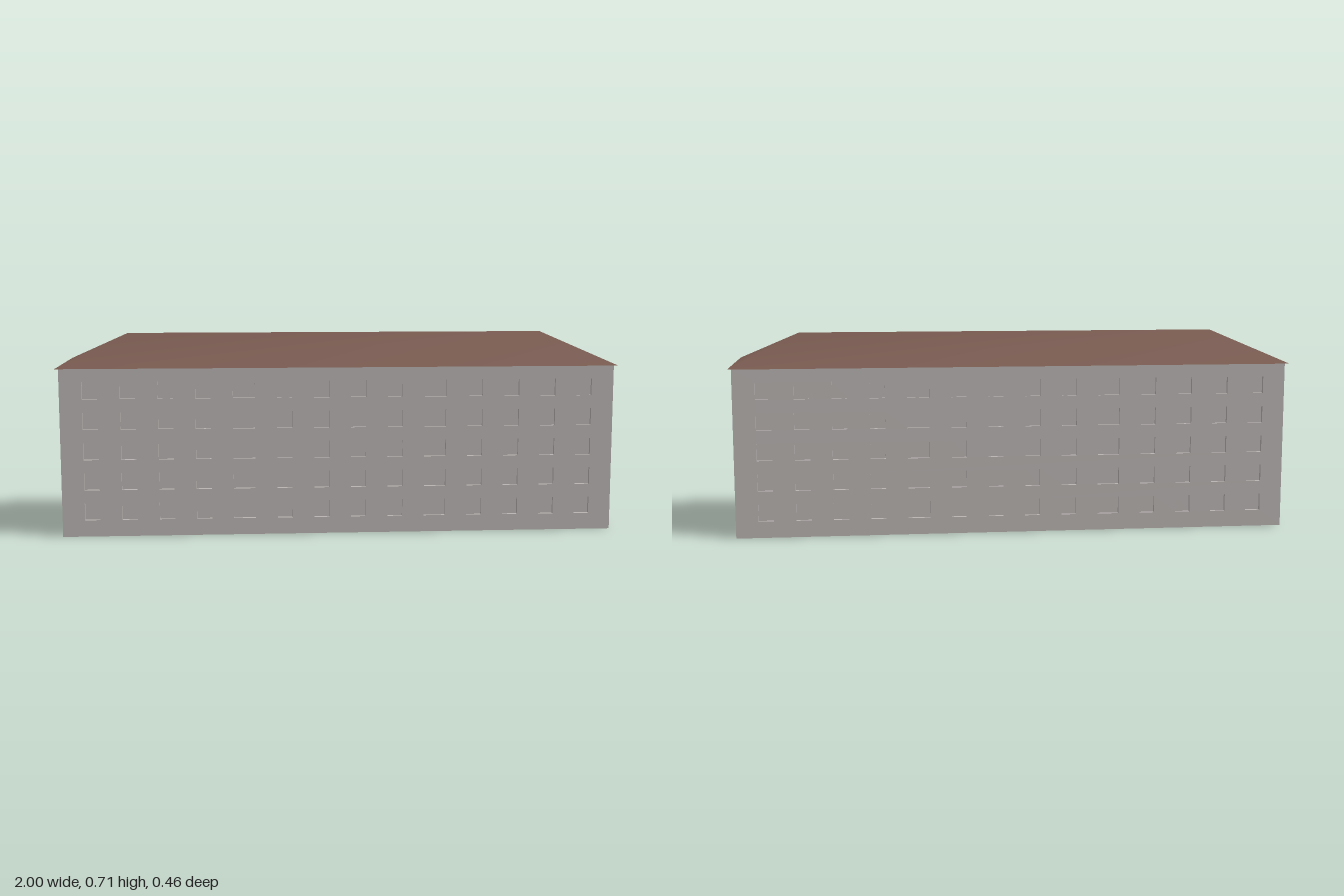
import * as THREE from 'three';
import { mergeGeometries } from 'three/addons/utils/BufferGeometryUtils.js';

const HALF_X = 0.988, HALF_Z = 0.219, WALL_H = 0.6;
const RECESS = 0.013, WIN_W = 0.054, WIDE_W = 0.078, WIN_H = 0.061;
const ROWS = [0, 1, 2, 3, 4].map((i) => 0.059 + i * 0.1083);

// Window columns as [centre, width], mirrored about the middle of a wall
const mirrored = (cols) => cols.flatMap(([c, w]) => [[-c, w], [c, w]]);
const LONG_COLS = mirrored([0.066, 0.198, 0.342, 0.486, 0.618, 0.75, 0.882]
  .map((c, i) => [c, i === 2 ? WIDE_W : WIN_W]));
const END_COLS = mirrored([[0.066, WIN_W]]);

function rect(path, x, y, w, h) {
  path.moveTo(x, y);
  path.lineTo(x + w, y);
  path.lineTo(x + w, y + h);
  path.lineTo(x, y + h);
  path.closePath();
  return path;
}

// Shallow pocket behind a window opening: a box without its front face
function windowPocket(c, y, w) {
  const g = new THREE.BoxGeometry(w, WIN_H, RECESS);
  const index = Array.from(g.index.array);
  index.splice(24, 6);
  g.setIndex(index);
  return g.translate(c, y + WIN_H / 2, -RECESS / 2);
}

// One thin wall facing +z, with openings and recessed windows
function makeWall(name, halfWidth, cols, material) {
  const wall = new THREE.Group();
  wall.name = name;
  const shape = rect(new THREE.Shape(), -halfWidth, 0, halfWidth * 2, WALL_H);
  const pockets = [];
  for (const [c, w] of cols) {
    for (const y of ROWS) {
      shape.holes.push(rect(new THREE.Path(), c - w / 2, y, w, WIN_H));
      pockets.push(windowPocket(c, y, w));
    }
  }
  const face = new THREE.Mesh(new THREE.ShapeGeometry(shape), material);
  face.name = name + 'Face';
  const windows = new THREE.Mesh(mergeGeometries(pockets), material);
  windows.name = name + 'Windows';
  wall.add(face, windows);
  return wall;
}

// Hipped roof with a slight overhang and smoothly blended slopes
function hipRoofGeometry() {
  const ex = 1, ez = 0.232, rx = 0.765, top = 0.71;
  const g = new THREE.BufferGeometry();
  g.setAttribute('position', new THREE.Float32BufferAttribute([
    -ex, WALL_H, ez, ex, WALL_H, ez, ex, WALL_H, -ez, -ex, WALL_H, -ez,
    -rx, top, 0, rx, top, 0,
  ], 3));
  g.setIndex([0, 1, 5, 0, 5, 4, 2, 3, 4, 2, 4, 5, 1, 2, 5, 3, 0, 4]);
  g.computeVertexNormals();
  return g;
}

export function createModel() {
  const wallMat = new THREE.MeshStandardMaterial({ color: 0xbab5b3, side: THREE.DoubleSide });
  wallMat.name = 'wallGrey';
  const roofMat = new THREE.MeshStandardMaterial({ color: 0x795b51, side: THREE.DoubleSide });
  roofMat.name = 'roofBrown';

  const building = new THREE.Group();
  building.name = 'apartmentBlock';

  // Four walls, open at the bottom
  const walls = [
    ['frontWall', HALF_X, LONG_COLS, HALF_Z, 0],
    ['leftWall', HALF_Z, END_COLS, HALF_X, Math.PI / 2],
    ['backWall', HALF_X, LONG_COLS, HALF_Z, Math.PI],
    ['rightWall', HALF_Z, END_COLS, HALF_X, -Math.PI / 2],
  ];
  for (const [name, half, cols, dist, angle] of walls) {
    const wall = makeWall(name, half, cols, wallMat);
    wall.rotation.y = angle;
    wall.position.set(Math.sin(angle) * dist, 0, Math.cos(angle) * dist);
    building.add(wall);
  }

  // Roof and its flat underside
  const roof = new THREE.Mesh(hipRoofGeometry(), roofMat);
  roof.name = 'roof';
  const soffit = new THREE.Mesh(new THREE.PlaneGeometry(2, 0.464), roofMat);
  soffit.name = 'roofUnderside';
  soffit.rotation.x = Math.PI / 2;
  soffit.position.y = WALL_H;
  building.add(roof, soffit);

  return building;
}
